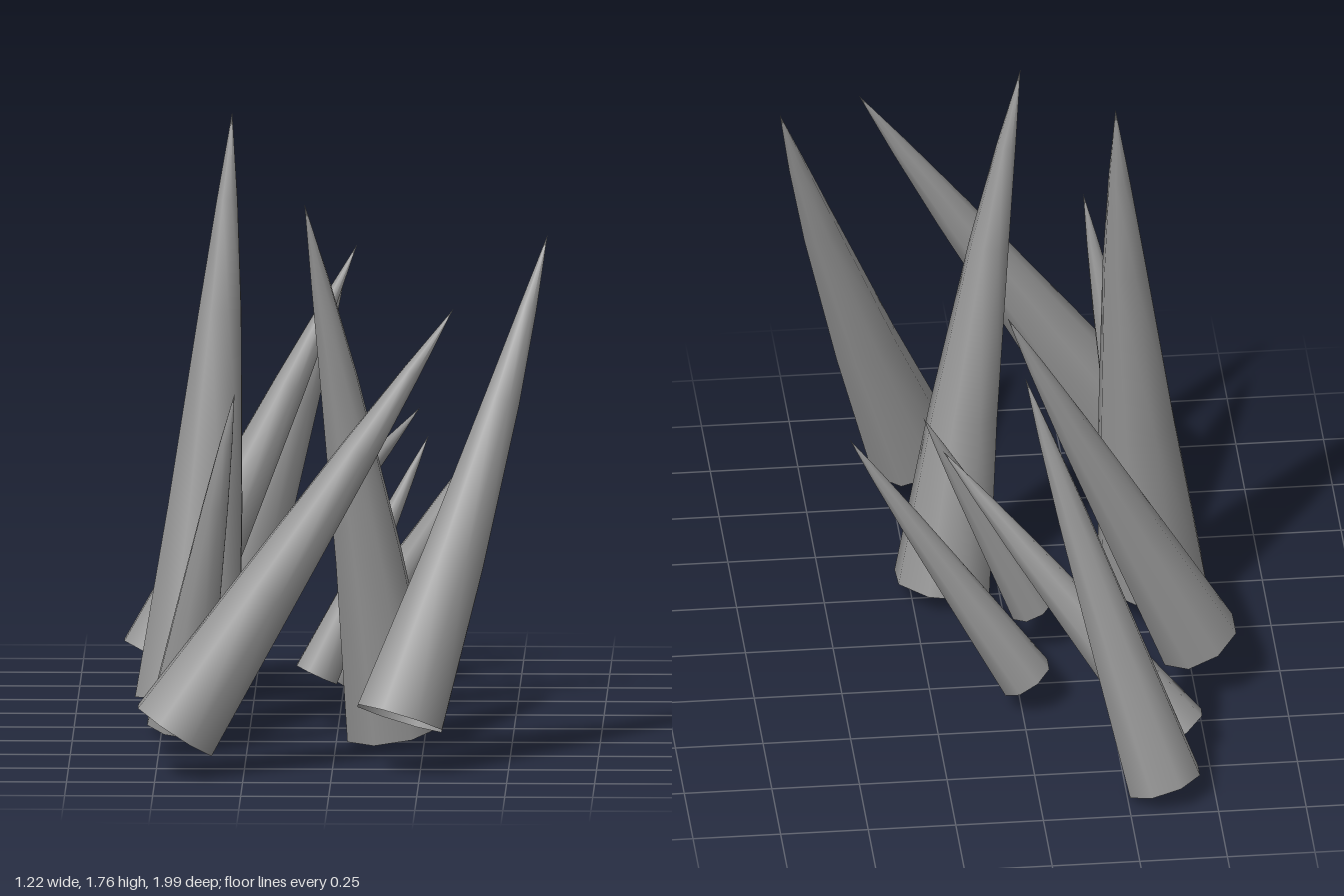
import * as THREE from 'three';

const SIDES = 8;
// Hollow, open-ended spikes: the inside shows from below
const material = new THREE.MeshStandardMaterial({ color: 0x959595, side: THREE.DoubleSide });

// Slightly convex taper: [fraction of length, fraction of base radius]
const TAPER = [[0, 1], [0.33, 0.71], [0.66, 0.41], [0.85, 0.2], [1, 0]];

// base centre, tip, base radius, sideways bow [x, z]
const SPIKES = [
  { base: [-0.355, 0.04, -0.895], tip: [0.015, 1.245, -0.635], r: 0.113, bow: [0, -0.015] },
  { base: [-0.415, 0.06, -0.66], tip: [0.225, 0.86, -0.375], r: 0.098, bow: [0, 0] },
  { base: [-0.512, 0.15, -0.31], tip: [0.045, 1.32, -0.425], r: 0.122, bow: [0, -0.005] },
  { base: [-0.015, 0.09, -0.37], tip: [0.485, 0.88, -0.32], r: 0.08, bow: [0, 0] },
  { base: [-0.062, 0.14, -0.06], tip: [0.255, 0.82, -0.125], r: 0.068, bow: [0, 0] },
  { base: [-0.425, 0.1, 0.16], tip: [-0.302, 1.76, -0.04], r: 0.16, bow: [0.01, 0] },
  { base: [-0.445, 0.07, 0.43], tip: [-0.28, 1.06, 0.66], r: 0.095, bow: [0, 0] },
  { base: [0.162, 0.035, 0.27], tip: [-0.085, 1.58, 0.5], r: 0.142, bow: [0.015, 0] },
  { base: [0.192, 0.15, 0.8], tip: [0.605, 1.49, 0.47], r: 0.135, bow: [0.015, 0] },
  { base: [-0.445, 0.125, 0.87], tip: [0.345, 1.33, 0.815], r: 0.135, bow: [0, -0.01] },
];

function makeSpike({ base, tip, r, bow }, index) {
  const start = new THREE.Vector3(...base);
  const axis = new THREE.Vector3(...tip).sub(start);
  const length = axis.length();

  // Tapered shell, bowed a little between base and tip
  const profile = TAPER.map(([t, k]) => new THREE.Vector2(r * k, t * length));
  const shell = new THREE.LatheGeometry(profile, SIDES, Math.PI / SIDES);
  const pos = shell.attributes.position;
  for (let i = 0; i < pos.count; i++) {
    const t = pos.getY(i) / length;
    const shift = 4 * t * (1 - t);
    pos.setX(i, pos.getX(i) + bow[0] * shift);
    pos.setZ(i, pos.getZ(i) + bow[1] * shift);
  }

  const spike = new THREE.Mesh(shell, material);
  spike.name = `spike${index + 1}`;
  spike.position.copy(start);
  spike.quaternion.setFromUnitVectors(new THREE.Vector3(0, 1, 0), axis.normalize());
  return spike;
}

export function createModel() {
  const model = new THREE.Group();
  model.name = 'spikeCluster';
  SPIKES.forEach((spec, i) => model.add(makeSpike(spec, i)));
  return model;
}
